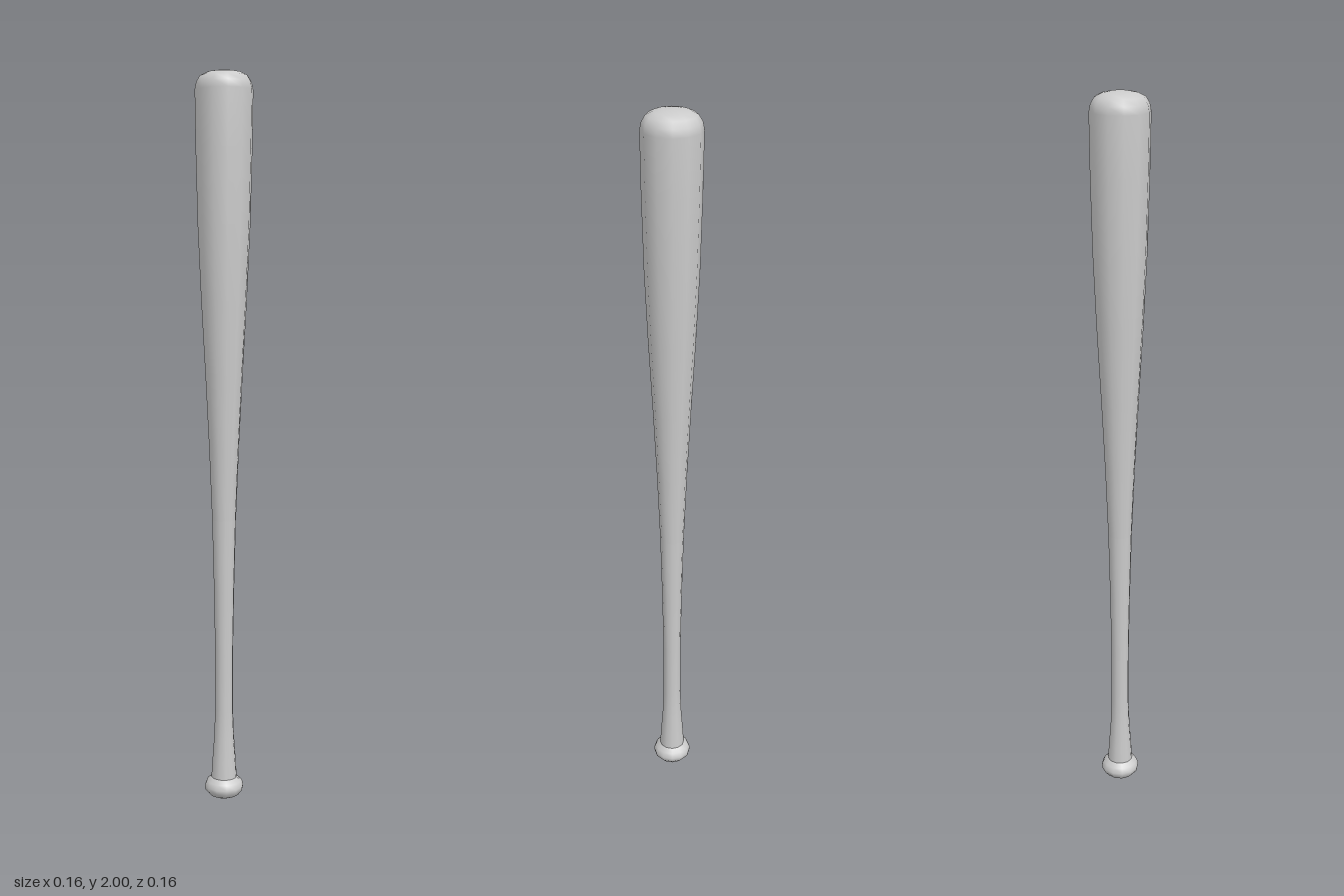
import * as THREE from 'three';

const SIDES = 12;

// Turned part from [radius, height] pairs listed bottom to top
function turned(name, profile, material) {
  const points = profile.map(([r, y]) => new THREE.Vector2(r, y));
  const mesh = new THREE.Mesh(new THREE.LatheGeometry(points, SIDES), material);
  mesh.name = name;
  return mesh;
}

export function createModel() {
  const group = new THREE.Group();
  group.name = 'bat';
  const material = new THREE.MeshStandardMaterial({ color: 0xcccccc });

  // Rounded knob at the foot of the grip
  group.add(turned('knob', [
    [0, 0], [0.022, 0.003], [0.042, 0.012], [0.053, 0.025],
    [0.055, 0.037], [0.049, 0.051], [0.036, 0.062],
  ], material));

  // Slim grip, flared where it meets the knob
  group.add(turned('handle', [
    [0.036, 0.062], [0.033, 0.11], [0.028, 0.18], [0.025, 0.26],
    [0.025, 0.42], [0.028, 0.6], [0.033, 0.8],
  ], material));

  // Tapered barrel with a domed end
  group.add(turned('barrel', [
    [0.033, 0.8], [0.041, 1.0], [0.051, 1.2], [0.062, 1.4], [0.071, 1.6],
    [0.076, 1.8], [0.078, 1.95], [0.074, 1.97], [0.064, 1.986],
    [0.046, 1.995], [0.024, 1.999], [0, 2],
  ], material));

  return group;
}
